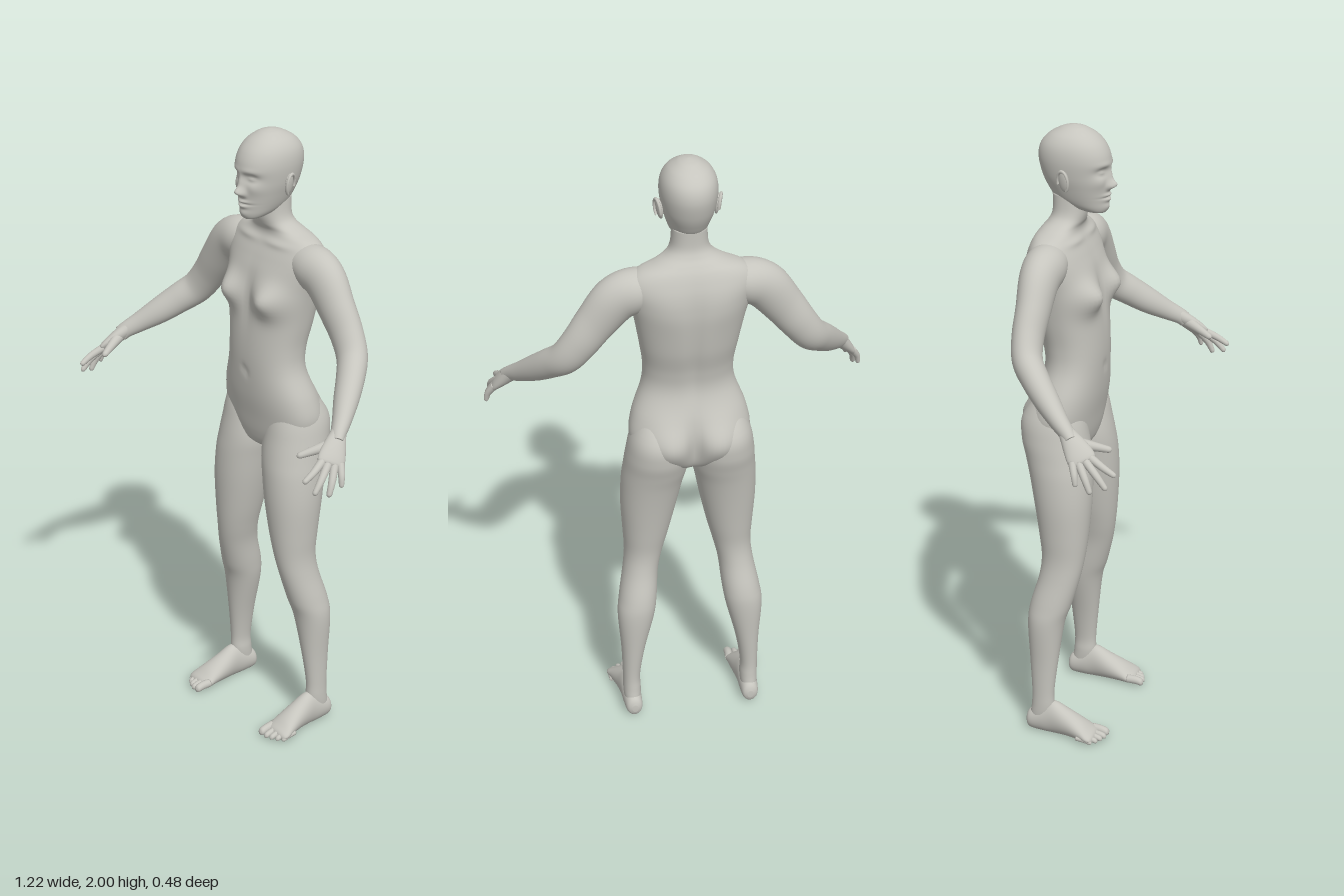
import * as THREE from 'three';

const skin = new THREE.MeshStandardMaterial({ color: 0xc6c5be });
skin.name = 'pale grey skin';

const V = (x, y, z) => new THREE.Vector3(x, y, z);
const UP = V(0, 1, 0), FORWARD = V(0, 0, 1), SIDE = V(1, 0, 0);

// Catmull-Rom blend of rows of numbers, t in 0..1
function sample(rows, t) {
  const n = rows.length - 1, i = Math.min(Math.floor(t * n), n - 1), f = t * n - i;
  const [a, b, c, d] = [i - 1, i, i + 1, i + 2].map(k => rows[Math.max(0, Math.min(n, k))]);
  return b.map((_, k) => 0.5 * (2 * b[k] + (c[k] - a[k]) * f
    + (2 * a[k] - 5 * b[k] + 4 * c[k] - d[k]) * f * f
    + (3 * b[k] - a[k] - 3 * c[k] + d[k]) * f * f * f));
}

// Skin over rings [x, y, z, radiusA, radiusB]; radiusA lies along `side`.
// `axis` fixes the ring normal, otherwise rings follow the path.
function loft(rows, { steps = 40, segs = 32, side = SIDE, axis, power = 1, round = 0, deform } = {}) {
  const pos = [], index = [];
  const at = t => V(...sample(rows, t).slice(0, 3));
  for (let i = 0; i <= steps; i++) {
    const t = i / steps, [x, y, z, a, b] = sample(rows, t);
    const T = axis || at(Math.min(1, t + 0.01)).sub(at(Math.max(0, t - 0.01))).normalize();
    const B = T.clone().cross(side).normalize(), A = B.clone().cross(T);
    const e = round ? Math.max(0, (t - 1 + round) / round) : 0;
    const k = Math.sqrt(Math.max(0.01, 1 - e * e));
    for (let j = 0; j < segs; j++) {
      const w = (j / segs) * Math.PI * 2, c = Math.cos(w), s = Math.sin(w);
      const p = V(x, y, z)
        .addScaledVector(A, Math.sign(c) * Math.abs(c) ** power * Math.max(a, 0.001) * k)
        .addScaledVector(B, Math.sign(s) * Math.abs(s) ** power * Math.max(b, 0.001) * k);
      if (deform) deform(p);
      pos.push(p.x, p.y, p.z);
      if (i < steps) {
        const q = i * segs + j, r = i * segs + (j + 1) % segs;
        index.push(q, r, q + segs, r, r + segs, q + segs);
      }
    }
  }
  // End caps
  for (const [ring, end] of [[0, 0], [steps * segs, 1]]) {
    const mid = V(0, 0, 0), m = pos.length / 3;
    for (let j = 0; j < segs; j++) mid.add(V(...pos.slice((ring + j) * 3, (ring + j) * 3 + 3)));
    mid.divideScalar(segs);
    pos.push(mid.x, mid.y, mid.z);
    for (let j = 0; j < segs; j++) {
      const q = ring + j, r = ring + (j + 1) % segs;
      end ? index.push(q, r, m) : index.push(r, q, m);
    }
  }
  const g = new THREE.BufferGeometry();
  g.setAttribute('position', new THREE.Float32BufferAttribute(pos, 3));
  g.setIndex(index);
  g.computeVertexNormals();
  return g;
}

// Rows [y, inner x, outer x, front z, back z] to ring rows
const upright = rows => rows.map(([y, xi, xo, zf, zb]) =>
  [(xi + xo) / 2, y, (zf + zb) / 2, (xo - xi) / 2, (zf - zb) / 2]);
const centred = rows => upright(rows.map(([y, w, zf, zb]) => [y, -w, w, zf, zb]));

// Symmetric soft bumps [x, y, width, height, amount] pushed along z
function sculpt(front, back, mid) {
  return p => {
    const f = THREE.MathUtils.smoothstep(p.z, mid - 0.04, mid + 0.04), ax = Math.abs(p.x);
    const sum = list => list.reduce((s, [x, y, w, h, d]) =>
      s + d * Math.exp(-(((ax - x) / w) ** 2 + ((p.y - y) / h) ** 2) / 2), 0);
    p.z += f * sum(front) + (1 - f) * sum(back);
  };
}

const ground = p => { p.y = Math.max(0, p.y); };

export function createModel() {
  const model = new THREE.Group();
  model.name = 'figure';
  const add = (name, g) => {
    const m = new THREE.Mesh(g, skin);
    m.name = name;
    model.add(m);
  };
  const pair = (name, g) => {
    add('left' + name, g);
    const r = g.clone().scale(-1, 1, 1), ix = r.index.array;
    for (let i = 0; i < ix.length; i += 3) [ix[i], ix[i + 1]] = [ix[i + 1], ix[i]];
    r.computeVertexNormals();
    add('right' + name, r);
  };

  // Torso and neck
  add('torso', loft(centred([
    [0.96, 0.03, -0.06, -0.15], [0.98, 0.1, -0.035, -0.185], [1.02, 0.165, -0.022, -0.205],
    [1.08, 0.19, -0.012, -0.212], [1.155, 0.179, 0, -0.2], [1.245, 0.146, 0.007, -0.177],
    [1.315, 0.141, 0.008, -0.183], [1.4, 0.153, 0.003, -0.205], [1.5, 0.171, -0.008, -0.22],
    [1.56, 0.187, -0.02, -0.222], [1.605, 0.198, -0.037, -0.218], [1.64, 0.19, -0.053, -0.209],
    [1.667, 0.16, -0.066, -0.198], [1.687, 0.11, -0.068, -0.185], [1.707, 0.073, -0.06, -0.17],
    [1.735, 0.057, -0.055, -0.16], [1.79, 0.053, -0.055, -0.16],
  ]), {
    steps: 110, segs: 72, axis: UP, power: 0.9,
    deform: sculpt(
      [[0.09, 1.485, 0.036, 0.034, 0.044], [0, 1.48, 0.014, 0.06, -0.006],
        [0, 1.235, 0.008, 0.011, -0.006], [0.07, 1.655, 0.04, 0.008, 0.006]],
      [[0.085, 1.07, 0.05, 0.055, -0.036], [0, 1.06, 0.014, 0.05, 0.02],
        [0, 1.38, 0.016, 0.15, 0.009], [0.09, 1.56, 0.045, 0.055, -0.006]], -0.11),
  }));

  // Head with sculpted face
  add('head', loft(centred([
    [1.733, 0.012, 0, -0.03], [1.738, 0.03, 0.006, -0.06], [1.752, 0.045, 0.01, -0.105],
    [1.775, 0.057, 0.014, -0.15], [1.81, 0.069, 0.017, -0.175], [1.85, 0.08, 0.018, -0.193],
    [1.9, 0.086, 0.022, -0.204], [1.94, 0.081, 0.008, -0.197], [1.97, 0.064, -0.018, -0.172],
    [1.99, 0.037, -0.05, -0.137], [1.997, 0.019, -0.07, -0.115], [2, 0.003, -0.089, -0.096],
  ]), {
    steps: 130, segs: 112, axis: UP, power: 0.95,
    deform: sculpt([
      [0, 1.824, 0.01, 0.01, 0.023], [0, 1.85, 0.009, 0.018, 0.011],   // nose
      [0.012, 1.818, 0.005, 0.006, 0.008],
      [0.033, 1.868, 0.015, 0.01, -0.013], [0.033, 1.866, 0.009, 0.005, 0.008], // eyes
      [0.03, 1.888, 0.02, 0.007, 0.004], [0.046, 1.835, 0.015, 0.014, 0.005],   // brow, cheek
      [0, 1.792, 0.016, 0.004, 0.008], [0, 1.778, 0.014, 0.005, 0.009],         // lips
      [0, 1.785, 0.02, 0.0018, -0.005], [0, 1.753, 0.017, 0.011, 0.008],        // mouth, chin
    ], [], -0.06),
  }));

  // Ears
  const place = g => g.rotateZ(-0.12).rotateY(0.3).translate(0.087, 1.845, -0.095);
  pair('Ear', place(new THREE.SphereGeometry(1, 20, 14).scale(0.008, 0.034, 0.019)));
  pair('EarRim', place(new THREE.TorusGeometry(0.03, 0.005, 8, 24, 4.4)
    .rotateZ(-0.3).rotateY(Math.PI / 2).scale(1, 1.1, 0.65).translate(0.006, 0, 0)));

  // Arms from shoulder to wrist
  pair('Arm', loft([
    [0.1, 1.605, -0.125, 0.05, 0.055], [0.165, 1.598, -0.125, 0.07, 0.066],
    [0.225, 1.572, -0.124, 0.073, 0.06], [0.285, 1.5, -0.12, 0.065, 0.052],
    [0.335, 1.432, -0.118, 0.058, 0.048], [0.378, 1.375, -0.103, 0.053, 0.046],
    [0.418, 1.335, -0.063, 0.049, 0.043], [0.46, 1.29, -0.01, 0.043, 0.038],
    [0.5, 1.25, 0.042, 0.033, 0.029], [0.525, 1.225, 0.078, 0.027, 0.023],
    [0.536, 1.21, 0.094, 0.026, 0.02],
  ], { steps: 60, side: V(0.64, 0.77, 0) }));

  // Hands
  pair('Palm', loft([
    [0.517, 1.235, 0.066, 0.022, 0.02], [0.528, 1.22, 0.083, 0.027, 0.022],
    [0.543, 1.198, 0.107, 0.036, 0.021], [0.558, 1.175, 0.13, 0.042, 0.017],
    [0.568, 1.157, 0.146, 0.04, 0.012],
  ], { steps: 20, side: V(0.45, -0.25, -0.85).normalize(), round: 0.12 }));
  const digits = {
    Thumb: [[0.532, 1.205, 0.105, 0.019], [0.508, 1.19, 0.155, 0.014], [0.484, 1.175, 0.202, 0.009]],
    IndexFinger: [[0.549, 1.172, 0.158, 0.013], [0.56, 1.15, 0.202, 0.011], [0.56, 1.128, 0.241, 0.008]],
    MiddleFinger: [[0.562, 1.165, 0.147, 0.013], [0.58, 1.128, 0.19, 0.011], [0.585, 1.092, 0.221, 0.008]],
    RingFinger: [[0.571, 1.16, 0.13, 0.013], [0.592, 1.118, 0.158, 0.011], [0.599, 1.078, 0.176, 0.008]],
    LittleFinger: [[0.577, 1.162, 0.112, 0.012], [0.598, 1.13, 0.126, 0.01], [0.605, 1.098, 0.132, 0.007]],
  };
  for (const [name, pts] of Object.entries(digits))
    pair(name, loft(pts.map(([x, y, z, r]) => [x, y, z, r, r]),
      { steps: 20, segs: 14, side: V(0.8, 0.5, 0), round: 0.15 }));

  // Legs from ankle to hip
  pair('Leg', loft(upright([
    [0.03, 0.174, 0.222, -0.115, -0.186], [0.07, 0.17, 0.226, -0.105, -0.18],
    [0.1, 0.169, 0.227, -0.1, -0.176], [0.15, 0.17, 0.227, -0.1, -0.174],
    [0.255, 0.153, 0.23, -0.089, -0.181], [0.39, 0.12, 0.239, -0.072, -0.19],
    [0.46, 0.109, 0.231, -0.05, -0.184], [0.55, 0.1, 0.214, -0.026, -0.16],
    [0.62, 0.084, 0.207, -0.013, -0.153], [0.7, 0.063, 0.211, -0.004, -0.163],
    [0.81, 0.038, 0.217, 0.003, -0.181], [0.9, 0.02, 0.215, 0.002, -0.199],
    [0.96, 0.007, 0.209, -0.004, -0.215], [1.02, 0.006, 0.202, -0.014, -0.23],
    [1.09, 0.02, 0.188, -0.028, -0.225], [1.18, 0.06, 0.15, -0.06, -0.16],
  ]), { steps: 80, segs: 40, axis: UP, power: 0.96 }));

  // Feet and toes
  pair('Foot', loft([
    [0.196, 0.034, -0.195, 0.01, 0.013], [0.197, 0.036, -0.183, 0.026, 0.034],
    [0.198, 0.045, -0.14, 0.031, 0.048], [0.199, 0.054, -0.1, 0.033, 0.058],
    [0.2, 0.043, -0.05, 0.039, 0.046], [0.204, 0.029, 0, 0.046, 0.032],
    [0.207, 0.02, 0.028, 0.05, 0.021], [0.208, 0.014, 0.05, 0.043, 0.012],
  ], { axis: FORWARD, deform: ground, round: 0.08 }));
  [[0.171, 0.081, 0.014], [0.194, 0.079, 0.0105], [0.213, 0.072, 0.01],
    [0.231, 0.062, 0.0095], [0.246, 0.048, 0.009]].forEach(([x, z, r], i) =>
    pair('Toe' + (i + 1), loft([
      [x - 0.002, r + 0.008, z - 0.055, r, r], [x, r + 0.006, z - 0.025, r * 0.95, r],
      [x, r, z, r * 0.9, r * 0.9],
    ], { steps: 16, segs: 14, axis: FORWARD, deform: ground, round: 0.25 })));

  return model;
}
